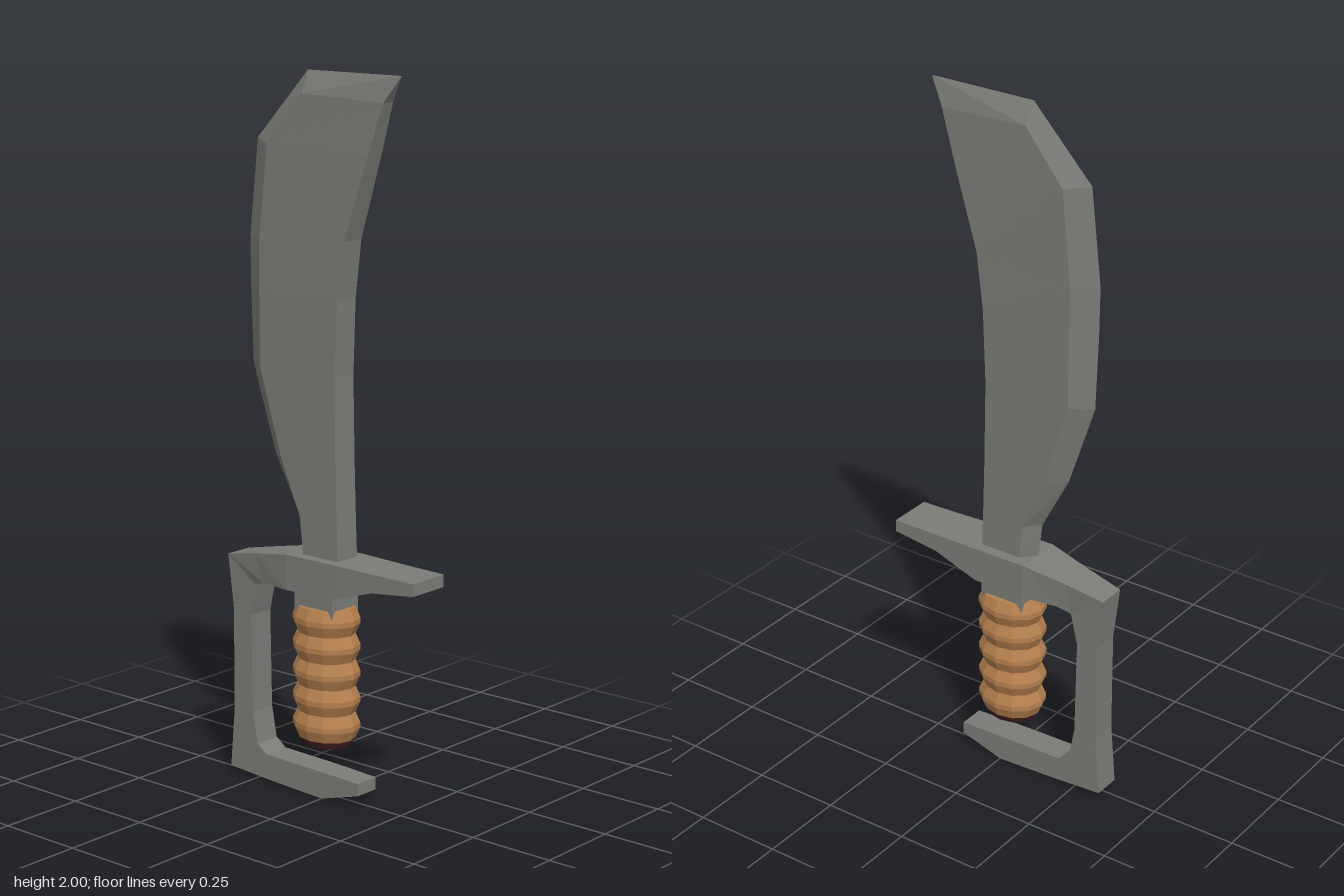
import * as THREE from 'three';

const steel = new THREE.MeshStandardMaterial({ name: 'steel', color: 0x7b7c76, flatShading: true });
const leather = new THREE.MeshStandardMaterial({ name: 'leather', color: 0xb5804e, flatShading: true });
const darkWood = new THREE.MeshStandardMaterial({ name: 'darkWood', color: 0x3a1c1e, flatShading: true });

// Skins a list of closed cross-sections with flat faces and caps both ends.
function loft(rows) {
  const pos = [];
  const tri = (a, b, c) => {
    const area = new THREE.Triangle(a, b, c).getArea();
    if (area > 1e-7) for (const p of [a, b, c]) pos.push(p.x, p.y, p.z);
  };
  const n = rows[0].length;
  for (let i = 0; i < rows.length - 1; i++) {
    for (let j = 0; j < n; j++) {
      const k = (j + 1) % n;
      const a = rows[i][j], b = rows[i][k], c = rows[i + 1][k], d = rows[i + 1][j];
      tri(a, b, c);
      tri(a, c, d);
    }
  }
  const first = rows[0], last = rows[rows.length - 1];
  for (let j = 1; j < n - 1; j++) {
    tri(first[0], first[j + 1], first[j]);
    tri(last[0], last[j], last[j + 1]);
  }
  const geo = new THREE.BufferGeometry();
  geo.setAttribute('position', new THREE.Float32BufferAttribute(pos, 3));
  geo.computeVertexNormals();
  return geo;
}

const v = (x, y, z) => new THREE.Vector3(x, y, z);

export function createModel() {
  const group = new THREE.Group();
  const add = (name, geo, mat) => {
    const mesh = new THREE.Mesh(geo, mat);
    mesh.name = name;
    group.add(mesh);
    return mesh;
  };

  // Blade: cutting edge x,y / bevel ridge x,y,z / spine x,y,z
  const blade = [
    [-0.10, 0.67, -0.065, 0.67, 0.04, 0.06, 0.67, 0.04],
    [-0.115, 0.79, -0.075, 0.79, 0.04, 0.055, 0.79, 0.04],
    [-0.20, 0.95, -0.145, 0.95, 0.04, 0.05, 0.95, 0.04],
    [-0.28, 1.19, -0.22, 1.19, 0.04, 0.046, 1.19, 0.039],
    [-0.288, 1.40, -0.222, 1.40, 0.04, 0.054, 1.40, 0.038],
    [-0.29, 1.54, -0.222, 1.54, 0.039, 0.075, 1.56, 0.036],
    [-0.26, 1.81, -0.195, 1.80, 0.037, 0.15, 1.79, 0.028],
    [-0.08, 2.0, -0.075, 1.94, 0.03, 0.195, 1.93, 0.02],
    [0.24, 2.0, 0.24, 2.0, 0, 0.24, 2.0, 0],
  ];
  add('blade', loft(blade.map(([ex, ey, rx, ry, rz, sx, sy, sz]) => [
    v(ex, ey, 0), v(rx, ry, rz), v(sx, sy, sz), v(sx, sy, -sz), v(rx, ry, -rz),
  ])), steel);

  // Crossguard and knuckle bow: outer x,y / inner x,y / half thickness
  const guard = [
    [0.34, 0.685, 0.34, 0.65, 0.065],
    [0.20, 0.687, 0.20, 0.635, 0.068],
    [0.06, 0.69, 0.06, 0.59, 0.072],
    [-0.10, 0.69, -0.10, 0.59, 0.072],
    [-0.23, 0.667, -0.20, 0.588, 0.053],
    [-0.343, 0.645, -0.24, 0.573, 0.042],
    [-0.325, 0.49, -0.26, 0.48, 0.04],
    [-0.325, 0.20, -0.255, 0.20, 0.04],
    [-0.34, 0.022, -0.238, 0.11, 0.04],
    [-0.18, 0.011, -0.205, 0.085, 0.04],
    [0, 0.003, 0, 0.08, 0.04],
    [0.13, 0.04, 0.13, 0.075, 0.038],
  ];
  add('guard', loft(guard.map(([ox, oy, ix, iy, z]) => [
    v(ox, oy, -z), v(ix, iy, -z), v(ix, iy, z), v(ox, oy, z),
  ])), steel);

  // Collar between guard and grip
  add('collar', new THREE.BoxGeometry(0.135, 0.10, 0.11).translate(-0.017, 0.56, 0), steel);

  // Grip: five bulging leather wraps on an oval section
  const wraps = 5, bottom = 0.175, step = 0.075;
  const profile = [new THREE.Vector2(0, bottom)];
  for (let i = 0; i < wraps; i++) {
    const y = bottom + i * step;
    profile.push(
      new THREE.Vector2(0.086, y),
      new THREE.Vector2(0.1, y + step * 0.4),
      new THREE.Vector2(0.1, y + step * 0.6),
    );
  }
  profile.push(new THREE.Vector2(0.086, bottom + wraps * step), new THREE.Vector2(0, bottom + wraps * step));
  const grip = add('grip', new THREE.LatheGeometry(profile, 12), leather);

  // Pommel: shallow cap with a blunt point
  const cap = [[0, 0.135], [0.075, 0.155], [0.086, 0.185], [0, 0.185]];
  const pommel = add('pommel', new THREE.LatheGeometry(cap.map(([r, y]) => new THREE.Vector2(r, y)), 12), darkWood);

  for (const part of [grip, pommel]) {
    part.position.x = -0.016;
    part.scale.z = 0.84;
  }
  return group;
}
